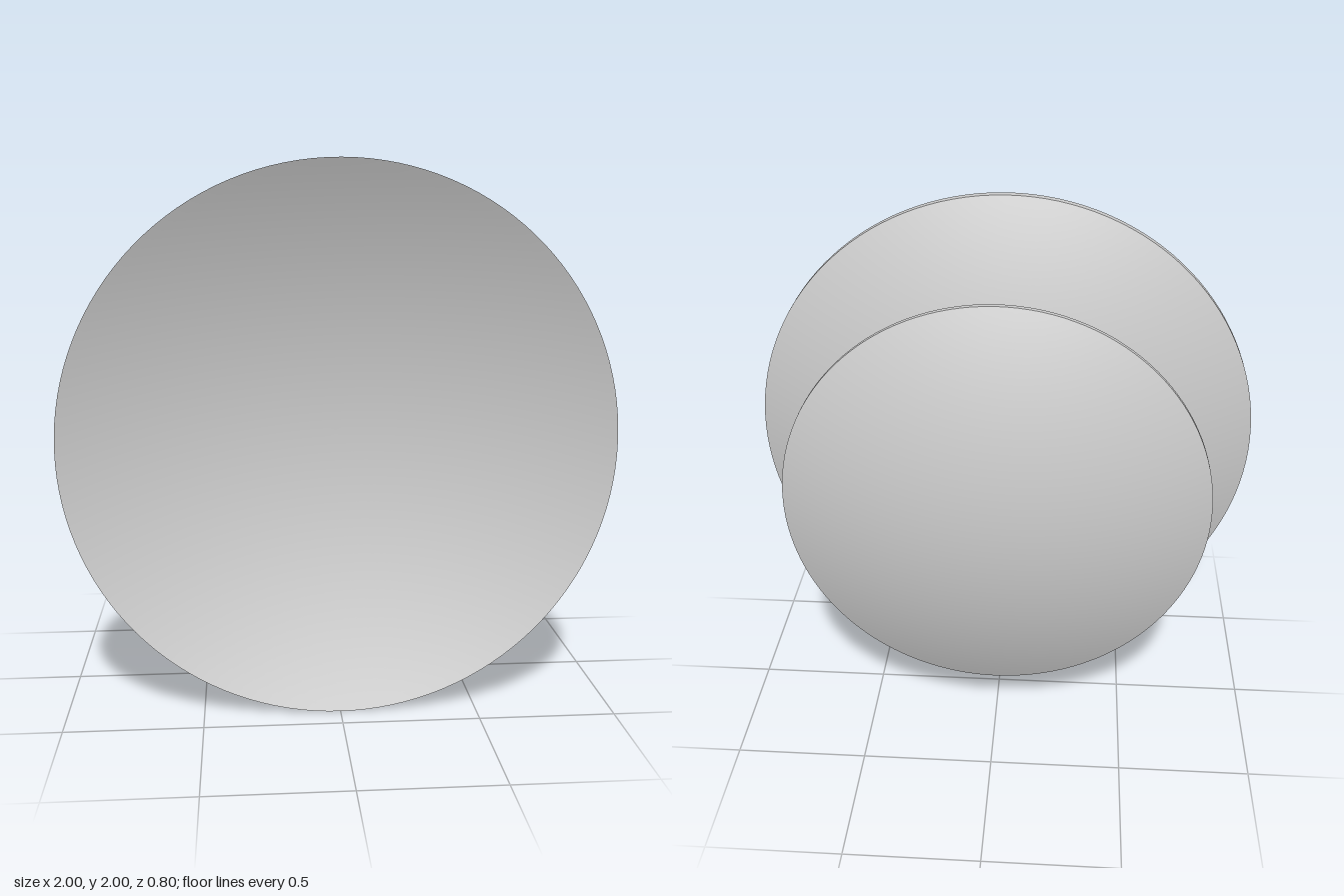
import * as THREE from 'three';
import { mergeGeometries } from 'three/addons/utils/BufferGeometryUtils.js';

const material = new THREE.MeshStandardMaterial({ color: 0xcccccc });

// Shallow dish opening to +z: bowl back, thin rim band and hollow front
function makeDish(name, radius, depth, thickness, frontZ) {
  const steps = 32;
  const back = [], front = [];
  for (let i = 0; i <= steps; i++) {
    const t = i / steps;
    const rise = depth * t * t;
    back.push(new THREE.Vector2(radius * t, rise));
    front.unshift(new THREE.Vector2(radius * t, rise + thickness));
  }
  const rim = [back[steps], front[0]];
  // Separate lathes keep the rim edges sharp
  const geometry = mergeGeometries([back, rim, front].map((p) => new THREE.LatheGeometry(p, 128)));
  geometry.rotateX(Math.PI / 2);

  const dish = new THREE.Mesh(geometry, material);
  dish.name = name;
  dish.position.set(0, 1, frontZ - depth - thickness);
  return dish;
}

export function createModel() {
  const model = new THREE.Group();
  model.name = 'twinDishes';
  model.add(makeDish('largeFrontDish', 1, 0.23, 0.033, 0.4));
  model.add(makeDish('smallBackDish', 0.797, 0.18, 0.02, -0.2));
  return model;
}
